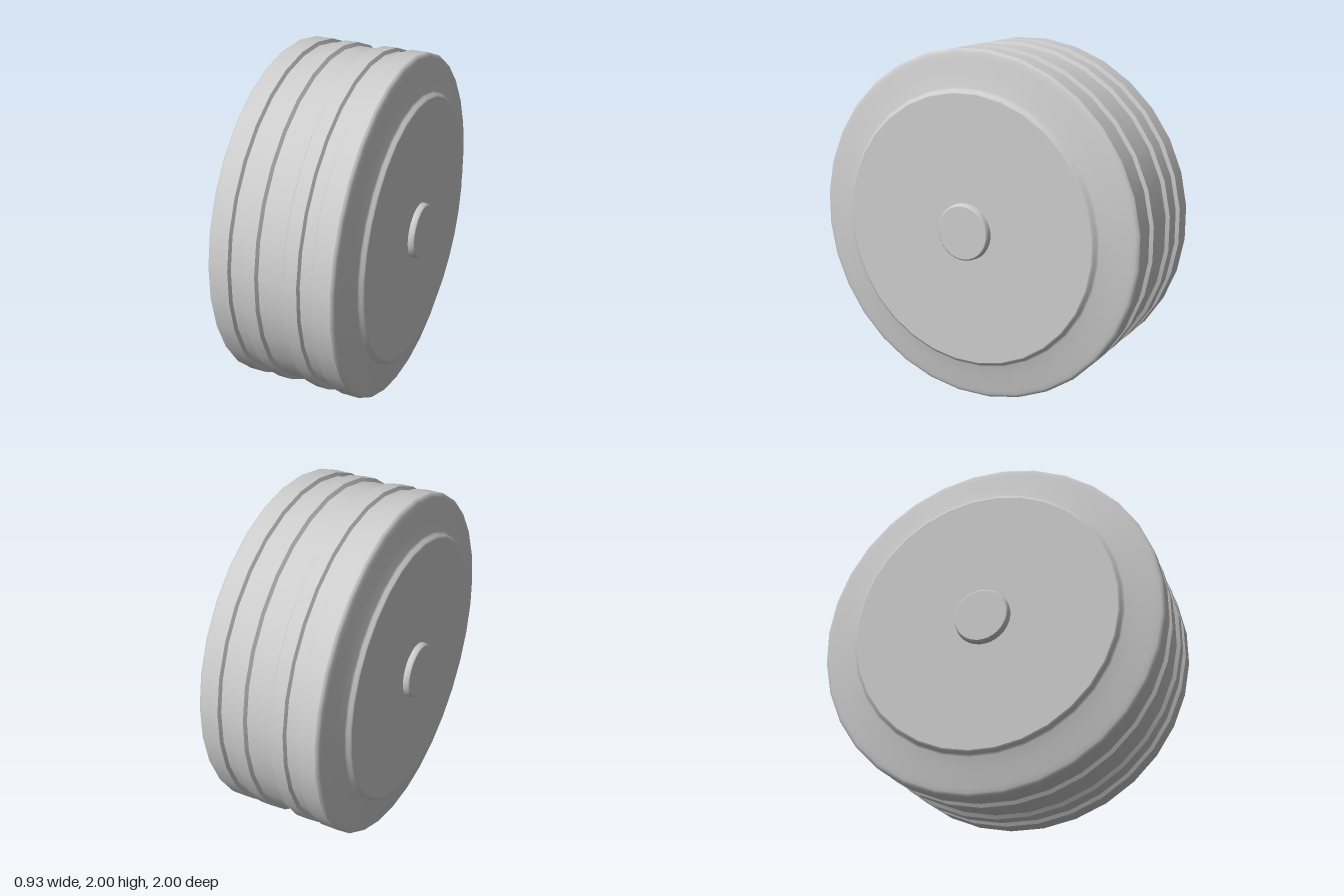
import * as THREE from 'three';
import { mergeGeometries } from 'three/addons/utils/BufferGeometryUtils.js';

const SIDES = 32;
const HALF_STEP = Math.PI / SIDES;
const FIT = 1 / Math.cos(HALF_STEP); // flats, not corners, touch the stated radius

// Revolve smooth runs of [x, radius] around the x axis; edges between runs stay sharp
function revolve(runs) {
  const parts = runs.map((run) => {
    const points = run.map(([x, r]) => new THREE.Vector2(r * FIT, x));
    return new THREE.LatheGeometry(points, SIDES, HALF_STEP).rotateZ(-Math.PI / 2);
  });
  return mergeGeometries(parts);
}

// Copy a run to the other side, keeping the point order from -x to +x
const mirrorRun = (run) => run.map(([x, r]) => [-x, r]).reverse();
const bothSides = (runs) => [...runs, ...runs.map(mirrorRun)];

// Split a profile into separate straight bands
const bands = (profile) => profile.slice(1).map((p, i) => [profile[i], p]);

export function createModel() {
  const group = new THREE.Group();
  const grey = new THREE.MeshStandardMaterial({ color: 0xcccccc });
  grey.name = 'grey';

  const add = (name, geometry) => {
    const mesh = new THREE.Mesh(geometry, grey);
    mesh.name = name;
    mesh.position.y = 1;
    group.add(mesh);
  };

  // Tread: one wide centre groove and a narrow groove on each side
  const top = 1, groove = 0.98;
  const half = [
    [0.07, groove], [0.082, top], [0.158, top], [0.168, groove],
    [0.23, groove], [0.24, top], [0.345, top],
  ];
  add('tread', revolve([[[-0.07, groove], [0.07, groove]], ...bothSides(bands(half))]));

  // Rounded shoulders running into the sloping side walls
  const wall = [
    [0.345, 1], [0.356, 0.994], [0.363, 0.98], [0.368, 0.955],
    [0.386, 0.87], [0.402, 0.795], [0.41, 0.783], [0.425, 0.775], [0.43, 0.765],
  ];
  add('sideWalls', revolve(bothSides([wall])));

  // Flat wheel discs
  add('wheelDiscs', revolve(bothSides([[[0.43, 0.765], [0.43, 0]]])));

  // Small raised hub caps with a softened rim
  const rim = [[0.428, 0.162], [0.445, 0.16], [0.458, 0.157], [0.464, 0.15]];
  add('hubCaps', revolve(bothSides([rim, [[0.464, 0.15], [0.464, 0]]])));

  return group;
}
